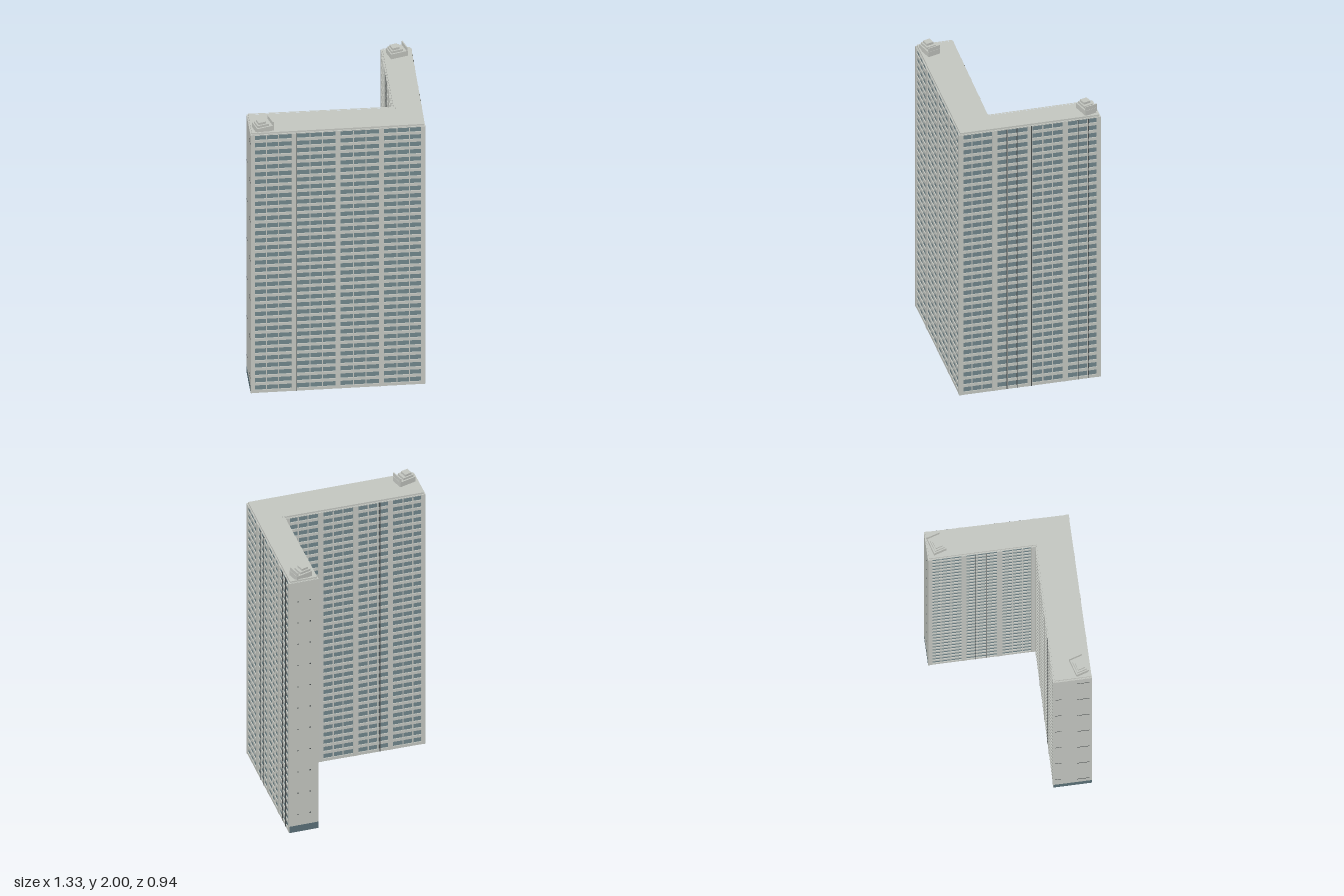
import * as THREE from 'three';
import { mergeGeometries } from 'three/addons/utils/BufferGeometryUtils.js';

// plan corners (x, z) of the two-winged tower
const PLAN = [[-0.595, -0.09], [-0.665, 0.145], [0.395, 0.465], [0.665, -0.415], [0.48, -0.47], [0.285, 0.185]];
const FLOORS = 35, PITCH = 0.0551, SILL = 0.021, WIN = 0.035, TOP = 1.932, RECESS = 0.006;

export function createModel() {
  const group = new THREE.Group();
  const mat = (name, color) => {
    const m = new THREE.MeshStandardMaterial({ color });
    m.name = name;
    return m;
  };
  const concrete = mat('concrete', 0xc4c7c1);
  const glass = mat('glass', 0x71868c);
  const dark = mat('darkJoint', 0x4a4f50);
  const basePanel = mat('basePanel', 0x5a7078);

  const add = (name, geos, material, parent = group) => {
    const mesh = new THREE.Mesh(mergeGeometries(geos), material);
    mesh.name = name;
    parent.add(mesh);
  };

  // edge i of the plan: start, direction, outward normal, length
  const edge = (i) => {
    const p = PLAN[i], q = PLAN[(i + 1) % 6];
    const len = Math.hypot(q[0] - p[0], q[1] - p[1]);
    const d = [(q[0] - p[0]) / len, (q[1] - p[1]) / len];
    return { p, d, n: [-d[1], d[0]], len };
  };

  // plan outline moved inwards by a distance
  const inset = (dist) => PLAN.map((p, i) => {
    const a = edge((i + 5) % 6).n, b = edge(i).n;
    const k = dist / (1 + a[0] * b[0] + a[1] * b[1]);
    return new THREE.Vector2(p[0] - (a[0] + b[0]) * k, p[1] - (a[1] + b[1]) * k);
  });

  // horizontal slab between two heights, optionally hollow
  const slab = (dist, y0, y1, holeDist) => {
    const shape = new THREE.Shape(inset(dist));
    if (holeDist) shape.holes.push(new THREE.Path(inset(holeDist)));
    return new THREE.ExtrudeGeometry(shape, { depth: y1 - y0, bevelEnabled: false })
      .rotateX(Math.PI / 2).translate(0, y1, 0);
  };

  // box on facade i: centre t along it, from y0 to y1, from depth back to front
  const onWall = (i, t, width, y0, y1, back, front) => {
    const { p, d, n } = edge(i), off = (back + front) / 2;
    return new THREE.BoxGeometry(width, y1 - y0, front - back)
      .rotateY(Math.atan2(-d[1], d[0]))
      .translate(p[0] + d[0] * t + n[0] * off, (y0 + y1) / 2, p[1] + d[1] * t + n[1] * off);
  };

  // glazed core, floor bands and roof
  add('glazing', [slab(RECESS, 0.005, TOP - 0.005)], glass);
  const bands = [];
  for (let f = 0; f <= FLOORS; f++) {
    const y0 = f ? SILL + (f - 1) * PITCH + WIN : 0;
    const y1 = f < FLOORS ? SILL + f * PITCH : TOP;
    if (y1 > y0) bands.push(slab(0, y0, y1));
  }
  add('floorBands', bands, concrete);
  add('roof', [slab(0.003, TOP - 0.006, TOP + 0.002)], concrete);
  add('parapet', [slab(0.008, TOP, 1.945, 0.018)], concrete);

  // piers between window bays, thin mullions inside each bay
  const piers = [], mullions = [];
  for (const [i, bays] of [[1, 4], [2, 4], [4, 3], [5, 4]]) {
    const { len } = edge(i), bay = len / bays;
    for (let b = 0; b <= bays; b++) {
      const end = b === 0 || b === bays;
      const t = b === 0 ? 0.0135 : b === bays ? len - 0.0135 : b * bay;
      piers.push(onWall(i, t, end ? 0.027 : 0.033, 0, TOP, -0.02, 0.0015));
      if (b === bays) continue;
      for (const k of [1, 2]) {
        mullions.push(onWall(i, b * bay + 0.02 + (bay - 0.04) * k / 3, 0.006, 0.01, TOP - 0.01, -0.02, -0.001));
      }
    }
  }
  add('piers', piers, concrete);
  add('mullions', mullions, concrete);

  // dark vertical joints on the long facades
  const joints = [[1, 0.288], [2, 0.31], [2, 0.376], [2, 0.47], [2, 0.774], [2, 0.842], [4, 0.3], [4, 0.37], [5, 0.62]];
  add('verticalJoints', joints.map(([i, t]) => onWall(i, t, 0.005, 0, TOP, -0.005, 0.0022)), dark);

  // blank end walls with a low tinted panel at the foot
  const ends = [0, 3];
  add('endWalls', ends.map((i) => onWall(i, edge(i).len / 2, edge(i).len, 0.05, TOP, -0.02, 0.001)), concrete);
  add('endWallBases', ends.map((i) => onWall(i, edge(i).len / 2, edge(i).len, 0.001, 0.05, -0.02, 0.0008)), basePanel);

  // small vents on one end wall, short slots on the other
  const vents = [], slots = [];
  for (let r = 0; r < 11; r++) {
    for (const u of [0.3, 0.72]) {
      vents.push(onWall(3, edge(3).len * u, 0.008, 0.13 + r * 0.165, 0.138 + r * 0.165, -0.002, 0.002));
    }
  }
  for (let r = 0; r < 7; r++) {
    slots.push(onWall(0, 0.19, 0.08, 0.1 + r * 0.293, 0.106 + r * 0.293, -0.002, 0.002));
    if (r < 6) slots.push(onWall(0, 0.03, 0.04, 0.14 + r * 0.293, 0.145 + r * 0.293, -0.002, 0.002));
  }
  add('vents', vents, dark);
  add('slots', slots, dark);

  // stepped plant rooms with a screen wall on the roof of each wing
  for (const [x, z] of [[-0.5625, 0.103], [0.5525, -0.379]]) {
    const plant = new THREE.Group();
    plant.name = 'plantRoom';
    plant.position.set(x, TOP, z);
    const block = (w, d, y0, y1, dx) => new THREE.BoxGeometry(w, y1 - y0, d).translate(dx, (y0 + y1) / 2, 0);
    add('plantBlocks', [
      block(0.115, 0.085, 0, 0.038, 0),
      block(0.076, 0.066, 0.03, 0.053, -0.012),
      block(0.048, 0.048, 0.05, 0.068, -0.016),
    ], concrete, plant);
    add('plantScreen', [block(0.007, 0.085, 0.03, 0.064, 0.052)], concrete, plant);
    group.add(plant);
  }
  return group;
}
